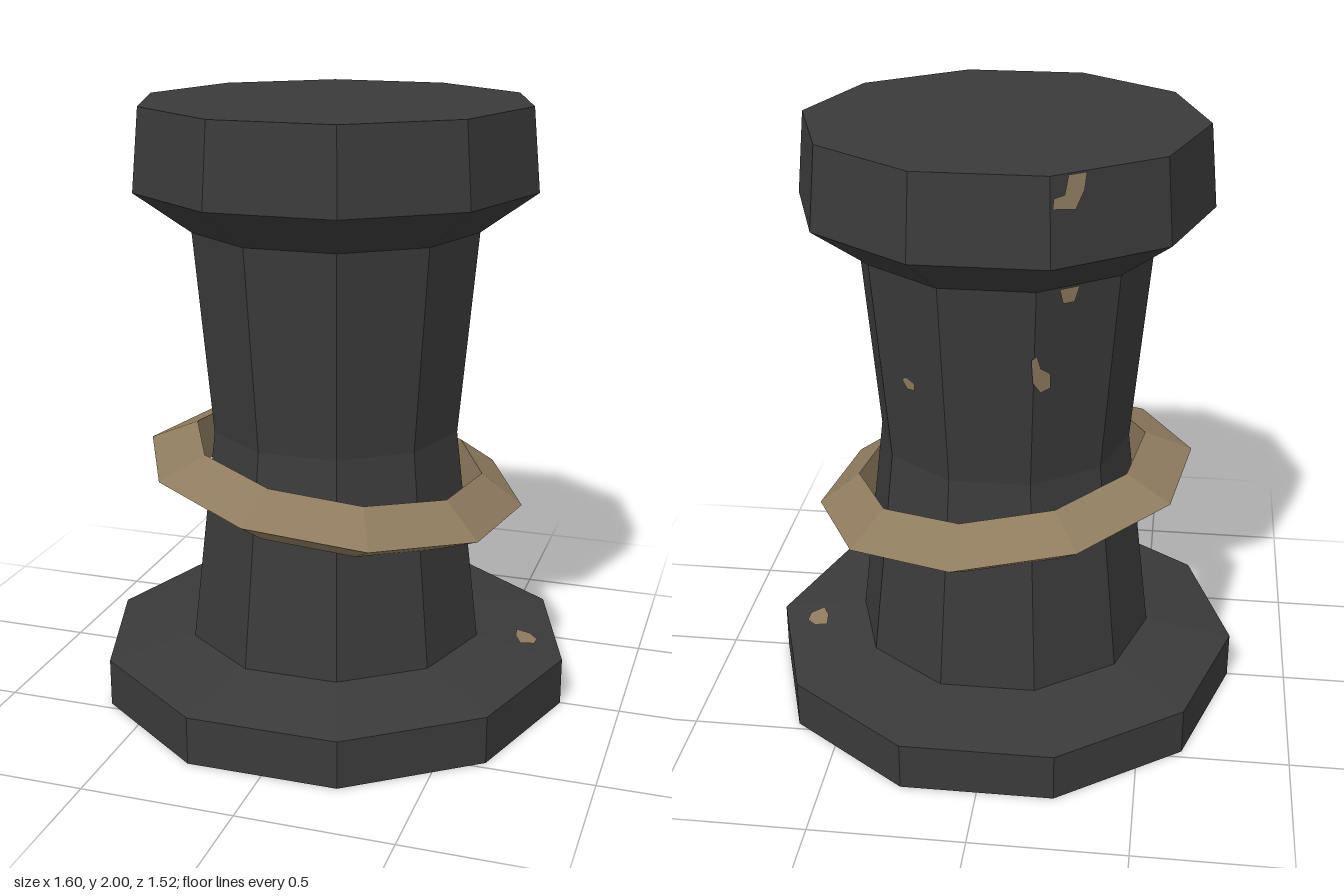
import * as THREE from 'three';

const SIDES = 10;
const STEP = Math.PI / SIDES; // half of one facet's angle

export function createModel() {
  const model = new THREE.Group();
  const iron = new THREE.MeshStandardMaterial({ color: 0x3a3a3a, flatShading: true, side: THREE.DoubleSide });
  iron.name = 'dark iron';
  const brass = new THREE.MeshStandardMaterial({ color: 0x8f7c5f, flatShading: true, side: THREE.DoubleSide });
  brass.name = 'dull brass';

  // Ten-sided turned part from [radius, height] points, listed bottom to top
  const turned = (name, points) => {
    const profile = points.map(([r, y]) => new THREE.Vector2(r, y));
    const mesh = new THREE.Mesh(new THREE.LatheGeometry(profile, SIDES, STEP), iron);
    mesh.name = name;
    model.add(mesh);
  };

  // The pillar is a hollow shell, open underneath
  const baseSlope = [[0.8, 0.16], [0.505, 0.21]];
  const shaft = [[0.42, 0.93], [0.48, 1.6]];
  const rim = [[0.665, 1.735], [0.64, 2]];
  turned('base', [[0.8, 0], ...baseSlope]);
  turned('column', [[0.505, 0.21], ...shaft]);
  turned('collar', [[0.48, 1.6], [0.665, 1.735]]);
  turned('head', [...rim, [0, 2]]);

  // Loose triangular-section ring, hanging at a slant
  const ringGeo = new THREE.TorusGeometry(0.542, 0.1, 3, SIDES);
  ringGeo.rotateX(Math.PI / 2).rotateY(STEP / 2).rotateZ(-0.142);
  const ring = new THREE.Mesh(ringGeo, brass);
  ring.name = 'ring';
  ring.position.set(-0.003, 0.75, 0);
  model.add(ring);

  // Thin worn spot lying on one facet: u across it, t up the profile segment
  const wornSpot = ([[r0, y0], [r1, y1]], facetDegrees, u, t, outline) => {
    const a0 = r0 * Math.cos(STEP), a1 = r1 * Math.cos(STEP);
    const shape = new THREE.Shape(outline.map(([x, y]) => new THREE.Vector2(x, y)));
    const spot = new THREE.Mesh(new THREE.ShapeGeometry(shape), brass);
    const tilt = Math.atan2(a0 - a1, y1 - y0);
    const lift = 0.004;
    spot.name = 'wornSpot';
    spot.position.set(
      u,
      THREE.MathUtils.lerp(y0, y1, t) + lift * Math.sin(tilt),
      THREE.MathUtils.lerp(a0, a1, t) + lift * Math.cos(tilt));
    spot.rotation.x = -tilt;
    const facet = new THREE.Group();
    facet.name = 'wornFacet';
    facet.rotation.y = THREE.MathUtils.degToRad(facetDegrees);
    facet.add(spot);
    model.add(facet);
  };

  wornSpot(rim, 216, -0.14, 0.8,
    [[-0.055, -0.04], [0.02, -0.05], [0.05, 0], [0.06, 0.05], [0, 0.05], [-0.015, -0.005], [-0.05, -0.01]]);
  wornSpot(shaft, 216, -0.04, 0.95,
    [[-0.03, 0.03], [-0.015, -0.02], [0.025, -0.02], [0.04, 0.03]]);
  wornSpot(shaft, 216, -0.12, 0.58,
    [[-0.035, 0.06], [-0.025, -0.02], [0.005, -0.06], [0.04, -0.05], [0.035, 0], [0, 0.025], [-0.015, 0.07]]);
  wornSpot(shaft, 144, -0.01, 0.45,
    [[-0.03, 0.01], [-0.01, -0.02], [0.025, -0.015], [0.025, 0.01], [-0.01, 0.022]]);
  wornSpot(baseSlope, 108, -0.12, 0.37,
    [[-0.055, 0.03], [-0.04, -0.02], [0, -0.035], [0.04, -0.015], [0.055, 0.03], [0, 0.04]]);

  return model;
}
